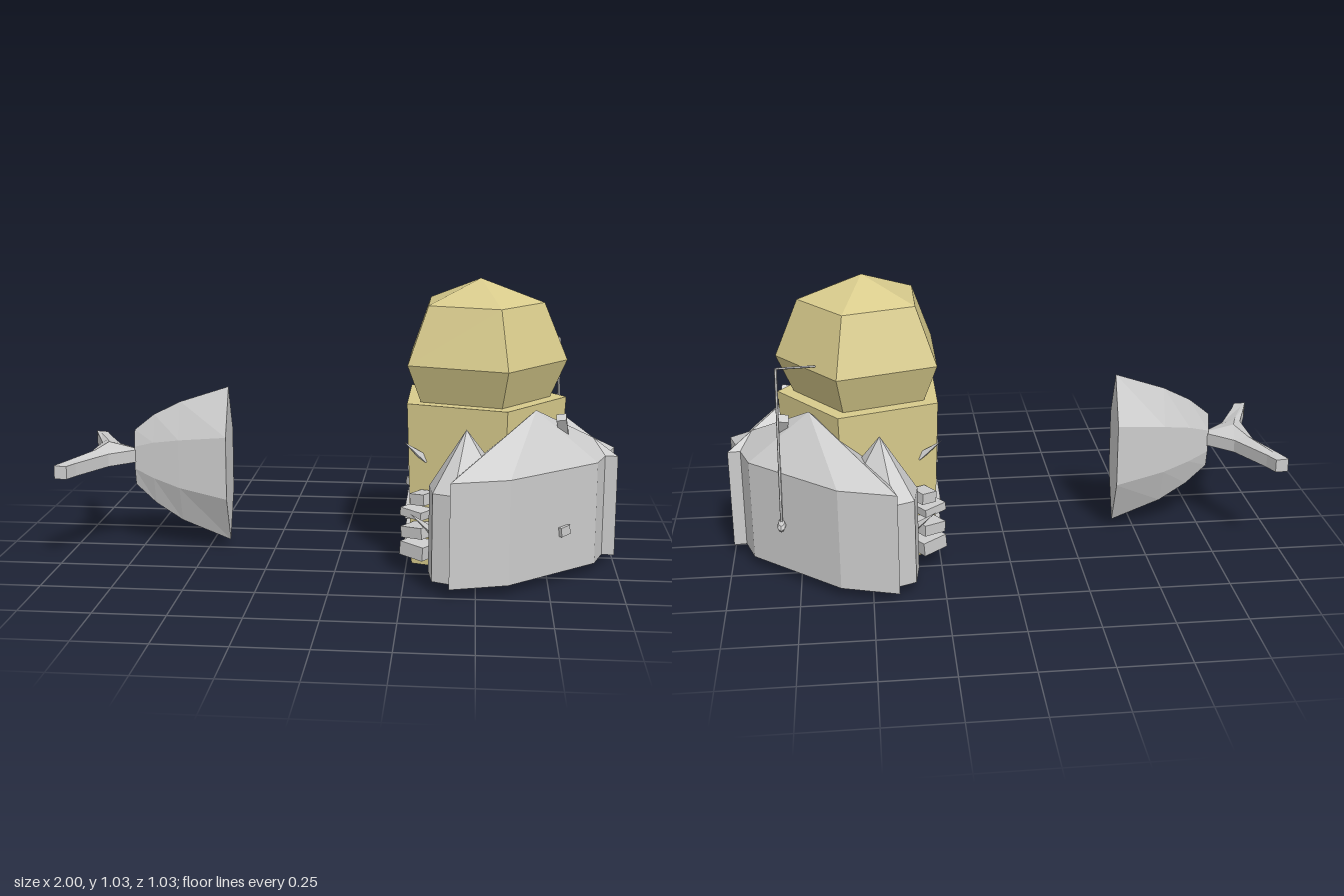
import * as THREE from 'three';

const gold = new THREE.MeshStandardMaterial({ color: 0xd8cb8c });
gold.name = 'pale gold';
const grey = new THREE.MeshStandardMaterial({ color: 0xcccccc });
grey.name = 'light grey';

// Faceted solid through rings of equal length, closed with a fan at each end
function loft(rings, startTip, endTip) {
  const mid = (r) => [0, 1, 2].map((k) => r.reduce((s, p) => s + p[k], 0) / r.length);
  const first = rings[0], last = rings[rings.length - 1], n = first.length;
  const a = startTip || mid(first), b = endTip || mid(last), out = [];
  for (let i = 0; i < n; i++) {
    const j = (i + 1) % n;
    out.push(a, first[j], first[i], b, last[i], last[j]);
    for (let k = 0; k < rings.length - 1; k++) {
      const lo = rings[k], hi = rings[k + 1];
      out.push(lo[i], lo[j], hi[j], lo[i], hi[j], hi[i]);
    }
  }
  const g = new THREE.BufferGeometry();
  g.setAttribute('position', new THREE.Float32BufferAttribute(out.flat(), 3));
  g.computeVertexNormals();
  return g;
}

function add(parent, name, geometry, material, pos = [0, 0, 0], rot = [0, 0, 0]) {
  const m = new THREE.Mesh(geometry, material);
  m.name = name;
  m.position.set(...pos);
  m.rotation.set(...rot);
  parent.add(m);
  return m;
}

// Thin rod between two points
function rod(parent, name, from, to, r) {
  const a = new THREE.Vector3(...from), b = new THREE.Vector3(...to);
  const d = b.clone().sub(a);
  const m = add(parent, name, new THREE.CylinderGeometry(r, r, d.length(), 5).toNonIndexed(), grey,
    a.clone().add(b).multiplyScalar(0.5).toArray());
  m.geometry.computeVertexNormals();
  m.quaternion.setFromUnitVectors(new THREE.Vector3(0, 1, 0), d.normalize());
}

// Pentagon ring with one corner towards +x
const pentagon = (r, y) => Array.from({ length: 5 }, (_, i) => {
  const t = (i * 2 * Math.PI) / 5;
  return [0.502 + r * Math.cos(t), y, -r * Math.sin(t)];
});

// Upright prism with a peaked top and bottom, mirrored by side
function shell(outline, side, yLow, yHigh, low, high) {
  const pts = outline.map(([x, z]) => [x, z * side]);
  if (side < 0) pts.reverse();
  const ring = (y) => pts.map(([x, z]) => [x, y, z]);
  const tip = ([x, y, z]) => [x, y, z * side];
  return loft([ring(yLow), ring(yHigh)], tip(low), tip(high));
}

export function createModel() {
  const model = new THREE.Group();
  model.name = 'model';

  // Gold tower and its domed cap
  const tower = new THREE.Group();
  tower.name = 'tower';
  model.add(tower);
  add(tower, 'towerBody', loft([pentagon(0.287, 0.016), pentagon(0.312, 0.605)]), gold);
  add(tower, 'towerCap', loft(
    [pentagon(0.252, 0.6), pentagon(0.312, 0.74), pentagon(0.226, 0.945)],
    null, [0.5, 1.03, 0]), gold);
  add(tower, 'towerUnderside', loft([pentagon(0.265, 0.01), pentagon(0.265, 0.017)]), grey);

  // Oval hatch and small square ports on the rear face
  add(tower, 'hatch', new THREE.CylinderGeometry(0.035, 0.035, 0.008, 8).scale(1.8, 1, 1),
    grey, [0.253, 0.44, -0.09], [0, 0, Math.PI / 2 - 0.035]);
  for (const [y, z] of [[0.36, 0.03], [0.36, 0.1], [0.31, -0.02]])
    add(tower, 'port', new THREE.BoxGeometry(0.008, 0.025, 0.02), grey, [0.256, y, z]);

  const large = [[0.41, 0.513], [0.61, 0.45], [0.92, 0.175], [1, -0.072], [0.79, -0.05], [0.48, 0.22]];
  const small = [[0.35, 0.44], [0.42, 0.47], [0.58, 0.4], [0.6, 0.25], [0.45, 0.2], [0.335, 0.33]];

  for (const s of [1, -1]) {
    // Large and small armour shells
    add(model, 'largeShell', shell(large, s, 0.037, 0.405, [0.7, 0.002, 0.18], [0.7, 0.59, 0.18]), grey);
    add(model, 'smallShell', shell(small, s, 0.04, 0.35, [0.46, 0.02, 0.32], [0.46, 0.55, 0.335]), grey);
    // Angled blocks on the shell roof
    add(model, 'roofBlock', new THREE.BoxGeometry(0.035, 0.09, 0.035), grey,
      [0.795, 0.525, 0.147 * s], [0.5 * s, 0, 0.15]);
    // Stepped fittings at the rear corners
    const fittings = [
      [0.3, 0.09, 0.22, 0.1, 0.05, 0.1], [0.3, 0.16, 0.23, 0.09, 0.04, 0.1],
      [0.29, 0.22, 0.21, 0.09, 0.03, 0.08], [0.31, 0.28, 0.24, 0.06, 0.04, 0.07],
      [0.265, 0.12, 0.12, 0.04, 0.07, 0.1],
    ];
    fittings.forEach(([x, y, z, w, h, d], i) =>
      add(model, 'rearFitting', new THREE.BoxGeometry(w, h, d), grey, [x, y, z * s],
        [0, -0.6 * s * (i < 4 ? 1 : 0), i % 2 ? 0.08 : -0.08]));
    // Pointed spikes beside the fittings
    for (const [x, y, z] of [[0.31, 0.2, 0.28], [0.28, 0.44, 0.2]]) {
      const spike = new THREE.ConeGeometry(0.018, 0.11, 4).toNonIndexed();
      spike.computeVertexNormals();
      add(model, 'rearSpike', spike, grey, [x, y, z * s], [0.4 * s, 0, 0.8]);
    }
  }
  add(model, 'rearLedge', new THREE.BoxGeometry(0.04, 0.045, 0.3), grey, [0.265, 0.2, 0]);
  add(model, 'sideBlock', new THREE.BoxGeometry(0.045, 0.033, 0.025), grey, [0.8, 0.187, 0.28], [0, 0.8, 0.1]);

  // Antenna with its oval foot and bent top
  const antenna = new THREE.Group();
  antenna.name = 'antenna';
  model.add(antenna);
  const foot = new THREE.SphereGeometry(0.045, 8, 4).scale(0.35, 0.37, 1).toNonIndexed();
  foot.computeVertexNormals();
  add(antenna, 'antennaFoot', foot, grey, [0.81, 0.212, -0.292]);
  rod(antenna, 'antennaMast', [0.81, 0.21, -0.292], [0.8, 0.78, -0.26], 0.005);
  rod(antenna, 'antennaArm', [0.8, 0.78, -0.26], [0.67, 0.76, -0.19], 0.004);

  // Separate tail cone, flattened sideways
  const tail = new THREE.Group();
  tail.name = 'tail';
  model.add(tail);
  const stations = [
    [-0.775, 0.24, 0.45, 0.014], [-0.7, 0.17, 0.51, 0.03],
    [-0.6, 0.105, 0.56, 0.05], [-0.418, 0.033, 0.62, 0.08],
  ];
  add(tail, 'tailCone', loft(stations.map(([x, lo, hi, w]) => {
    const c = (lo + hi) / 2, h = (hi - lo) * 0.2;
    return [[x, lo, 0], [x, c - h, -w], [x, c + h, -w], [x, hi, 0], [x, c + h, w], [x, c - h, w]];
  })), grey);

  // Swept twin flukes with a raised middle: [z, rear x, front x, ridge height]
  const half = [[0, -0.925, -0.755, 0.402], [0.09, -0.925, -0.855, 0.39], [0.24, -0.983, -0.935, 0.378],
    [0.288, -1, -0.955, 0.376]];
  const span = [...half.slice(1).reverse().map(([z, ...r]) => [-z, ...r]), ...half];
  add(tail, 'tailFlukes', loft(span.map(([z, rear, front, top]) => [
    [rear, 0.328, z], [front, 0.328, z], [front, 0.375, z],
    [rear * 0.7 + front * 0.3, top, z], [rear, 0.378, z],
  ])), grey);

  return model;
}
